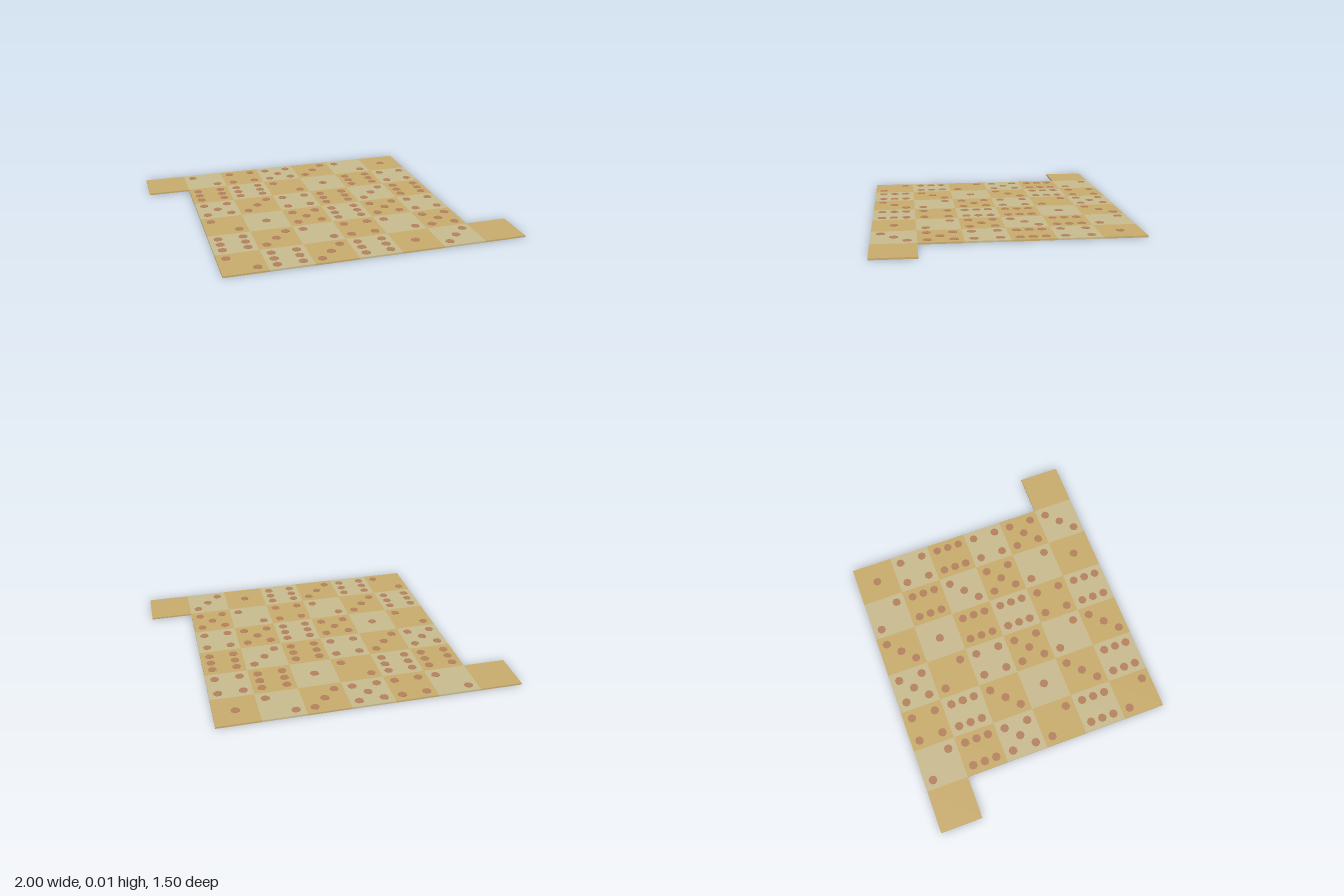
import * as THREE from 'three';

const TILE = 0.25, THICK = 0.01, PIP_R = 0.026, PIP_H = 0.0015, OFF = 0.072;

// Number of pips on each tile, back row first
const COUNTS = ['245321', '662164', '534636', '215654', '632425', '263613'];

// Pip positions for each count, in steps of OFF from the tile centre
const back = [[-1, -1], [1, -1]], front = [[-1, 1], [1, 1]];
const LAYOUT = {
  1: [[0, 0]],
  2: [[-1, -1], [1, 1]],
  3: [[1, -1], [0, 0], [-1, 1]],
  4: [...back, ...front],
  5: [...back, [0, 0], ...front],
  6: [...back, [-1, 0], [1, 0], ...front],
};

function material(name, color) {
  const m = new THREE.MeshStandardMaterial({ color });
  m.name = name;
  return m;
}

export function createModel() {
  const model = new THREE.Group();
  model.name = 'diceBoard';
  const tan = material('tan', 0xcbae6e);
  const beige = material('beige', 0xcbbd91);
  const brown = material('brown', 0xb6835e);

  const tileGeo = new THREE.BoxGeometry(TILE, THICK, TILE);
  const pipGeo = new THREE.CylinderGeometry(PIP_R, PIP_R, PIP_H, 8).rotateY(Math.PI / 8);

  // One board tile with its pips; the colours alternate
  function addTile(row, col, count, name) {
    const tile = new THREE.Group();
    tile.name = name;
    tile.position.set((col - 2.5) * TILE, 0, (row - 2.5) * TILE);
    const slab = new THREE.Mesh(tileGeo, (row + col) % 2 ? tan : beige);
    slab.name = 'slab';
    slab.position.y = THICK / 2;
    tile.add(slab);
    for (const [x, z] of LAYOUT[count] ?? []) {
      const pip = new THREE.Mesh(pipGeo, brown);
      pip.name = 'pip';
      pip.position.set(x * OFF, THICK + PIP_H / 2, z * OFF);
      tile.add(pip);
    }
    model.add(tile);
  }

  // Six by six playing field
  COUNTS.forEach((line, row) => {
    [...line].forEach((count, col) => addTile(row, col, count, 'boardTile'));
  });

  // Blank start and finish tiles at opposite corners
  addTile(0, -1, 0, 'backCornerTile');
  addTile(5, 6, 0, 'frontCornerTile');

  return model;
}
